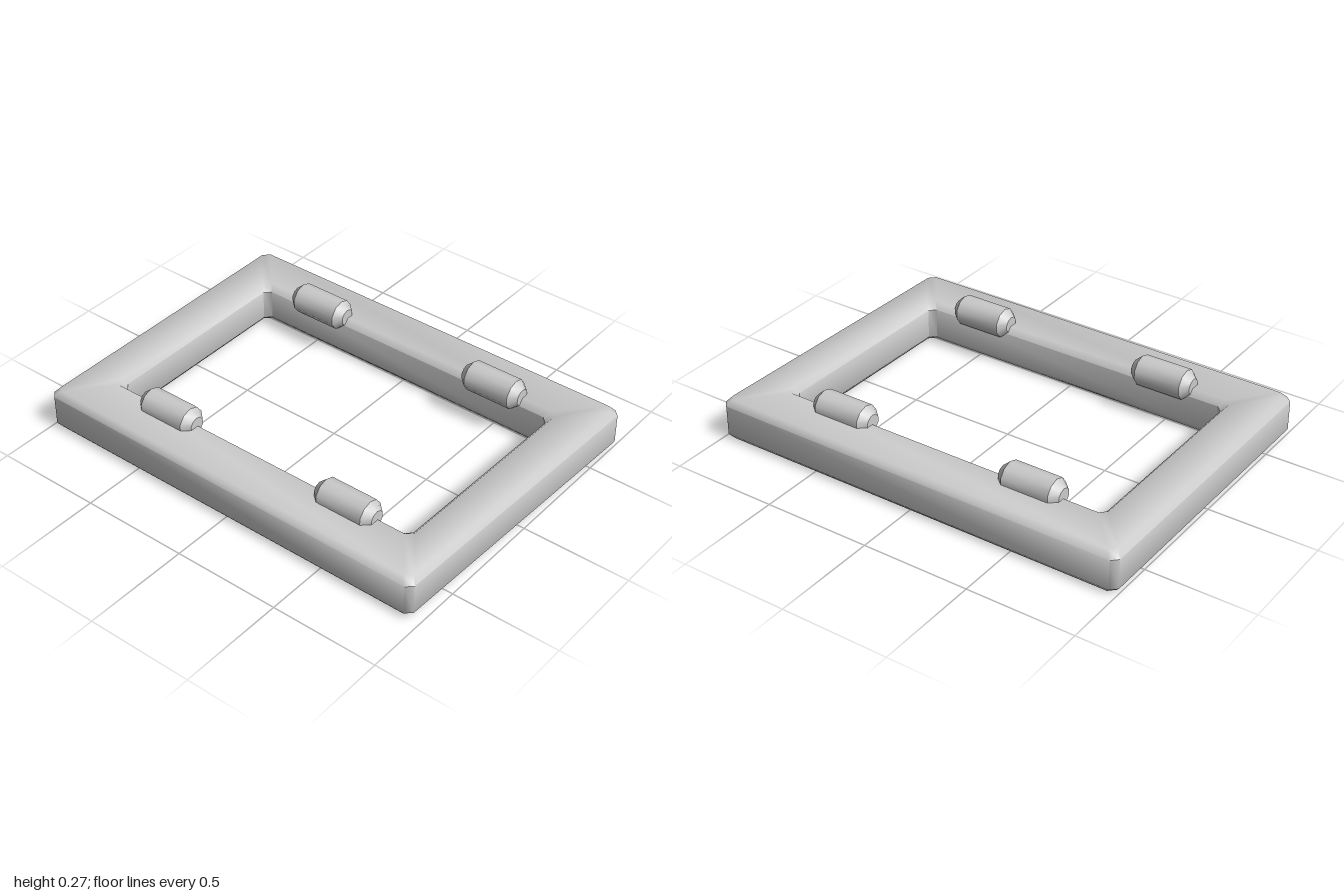
import * as THREE from 'three';
import { toCreasedNormals } from 'three/addons/utils/BufferGeometryUtils.js';

const material = new THREE.MeshStandardMaterial({ color: 0xcccccc });

// Corners of the slightly skewed frame: outer x, z and inner x, z
const corners = [
  { outer: [0.72, 1.0], inner: [0.485, 0.785] },
  { outer: [0.72, -1.0], inner: [0.485, -0.79] },
  { outer: [-0.725, -1.0], inner: [-0.485, -0.79] },
  { outer: [-0.73, 0.96], inner: [-0.485, 0.77] },
];

// Bevelled rail section, from outer bottom over the top to inner bottom:
// edge it follows, offset into the rail, height
const section = [
  ['outer', 0.02, 0], ['outer', 0, 0.025], ['outer', 0, 0.165], ['outer', 0.025, 0.193],
  ['inner', 0.025, 0.193], ['inner', 0, 0.165], ['inner', 0, 0.025], ['inner', 0.02, 0],
];

function frameGeometry() {
  const positions = [];
  const indices = [];
  const cut = 0.028;
  const n = section.length;

  // Two columns per corner give each one a small chamfer
  corners.forEach((corner, k) => {
    for (let half = 0; half < 2; half++) {
      const alongX = (k + half) % 2 === 0;
      for (const [edge, offset, y] of section) {
        const [x, z] = corner[edge];
        const shift = edge === 'outer' ? -offset : offset;
        positions.push(
          x + Math.sign(x) * (shift - (alongX ? cut : 0)),
          y,
          z + Math.sign(z) * (shift - (alongX ? 0 : cut)),
        );
      }
    }
  });

  // Join neighbouring columns around the whole loop
  const columns = corners.length * 2;
  for (let i = 0; i < columns; i++) {
    const next = (i + 1) % columns;
    for (let j = 0; j < n; j++) {
      const up = (j + 1) % n;
      const a = i * n + j, b = next * n + j, c = i * n + up, d = next * n + up;
      indices.push(a, b, c, b, d, c);
    }
  }
  const geometry = new THREE.BufferGeometry();
  geometry.setAttribute('position', new THREE.Float32BufferAttribute(positions, 3));
  geometry.setIndex(indices);
  return toCreasedNormals(geometry, 0.9);
}

// Ten-sided peg with tapered ends, lying along z
function pegGeometry() {
  const profile = [[0, -0.147], [0.038, -0.147], [0.07, -0.112], [0.07, 0.112], [0.038, 0.147], [0, 0.147]]
    .map(([r, h]) => new THREE.Vector2(r, h));
  const lathe = new THREE.LatheGeometry(profile, 10);
  lathe.rotateX(Math.PI / 2);
  return toCreasedNormals(lathe, 0.7);
}

export function createModel() {
  const model = new THREE.Group();
  model.name = 'frameWithPegs';

  const frame = new THREE.Mesh(frameGeometry(), material);
  frame.name = 'frame';
  model.add(frame);

  // Four pegs resting on the inner edges of the long rails
  const geometry = pegGeometry();
  for (const [side, x] of [['left', 0.505], ['right', -0.515]]) {
    for (const [end, z] of [['front', 0.485], ['back', -0.475]]) {
      const peg = new THREE.Mesh(geometry, material);
      peg.name = `${end}Peg_${side}`;
      peg.position.set(x, 0.2, z);
      model.add(peg);
    }
  }
  return model;
}
